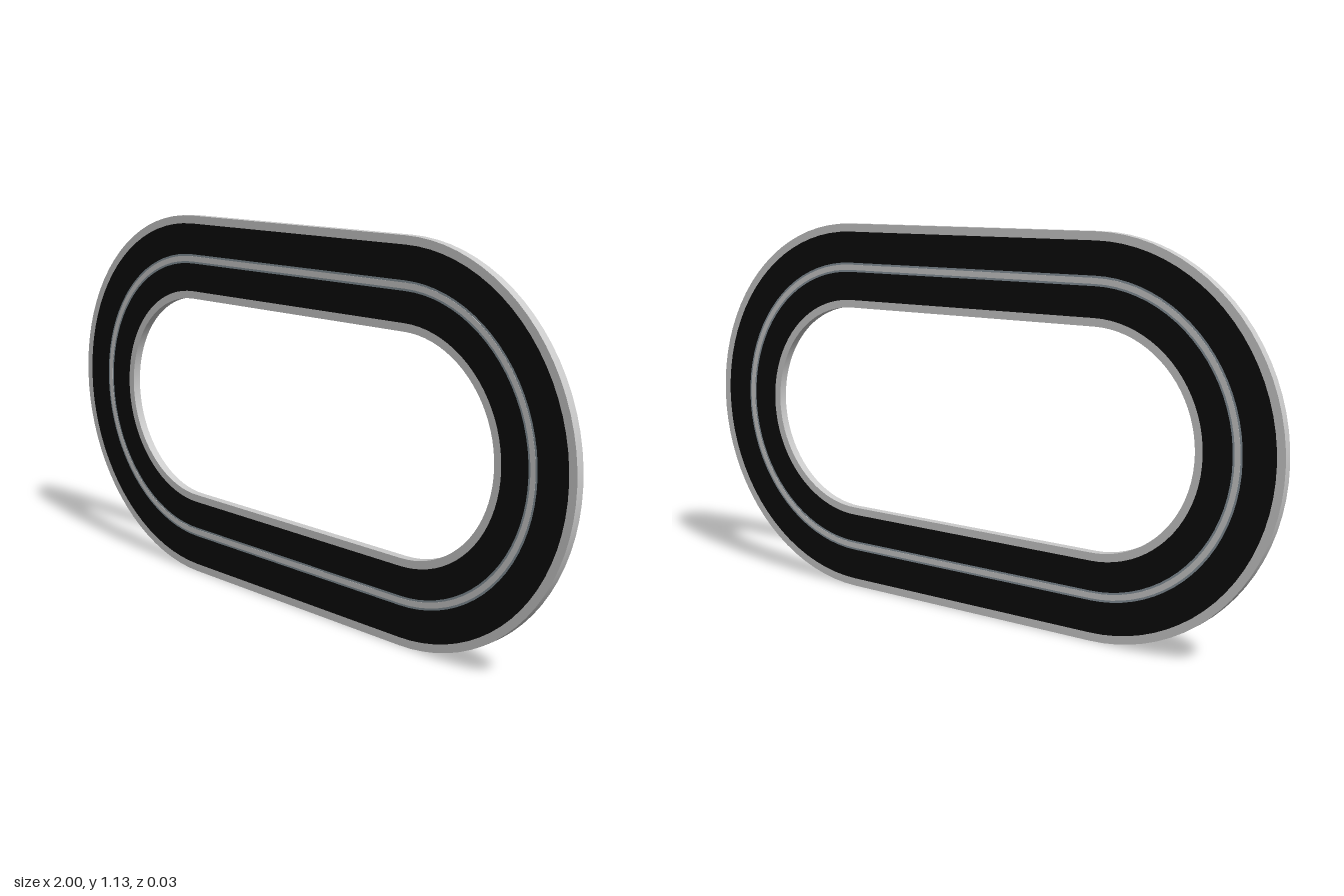
import * as THREE from 'three';
import { toCreasedNormals } from 'three/addons/utils/BufferGeometryUtils.js';

const HALF_STRAIGHT = 0.435; // half length of the straights
const CENTRE_Y = 0.565;
const THICKNESS = 0.025;

// Rounded-end loop at radius r, used both as outline and as hole
function loop(path, r) {
  path.moveTo(-HALF_STRAIGHT, -r);
  path.lineTo(HALF_STRAIGHT, -r);
  path.absarc(HALF_STRAIGHT, 0, r, -Math.PI / 2, Math.PI / 2, false);
  path.lineTo(-HALF_STRAIGHT, r);
  path.absarc(-HALF_STRAIGHT, 0, r, Math.PI / 2, Math.PI * 1.5, false);
  return path;
}

// Flat ring between two radii, centred on z = 0
function ring(name, inner, outer, depth, color) {
  const shape = loop(new THREE.Shape(), outer);
  shape.holes.push(loop(new THREE.Path(), inner));
  const geometry = new THREE.ExtrudeGeometry(shape, { depth, bevelEnabled: false, curveSegments: 20 });
  geometry.translate(0, CENTRE_Y, -depth / 2);
  const mesh = new THREE.Mesh(toCreasedNormals(geometry, 0.5), new THREE.MeshStandardMaterial({ color }));
  mesh.name = name;
  return mesh;
}

export function createModel() {
  const group = new THREE.Group();
  group.name = 'ovalTrack';

  // Base plate, whose edges show as the inner and outer borders
  group.add(ring('basePlate', 0.312, 0.565, THICKNESS, 0xcccccc));

  // Dark lanes on both faces, either side of the divider
  group.add(ring('innerLane', 0.335, 0.42, THICKNESS + 0.001, 0x0a0a0a));
  group.add(ring('outerLane', 0.448, 0.541, THICKNESS + 0.001, 0x0a0a0a));

  // Centre divider: bluish trim with a light core
  group.add(ring('dividerTrim', 0.42, 0.448, THICKNESS + 0.001, 0x87949c));
  group.add(ring('dividerCore', 0.426, 0.442, THICKNESS + 0.002, 0xcccccc));

  return group;
}
